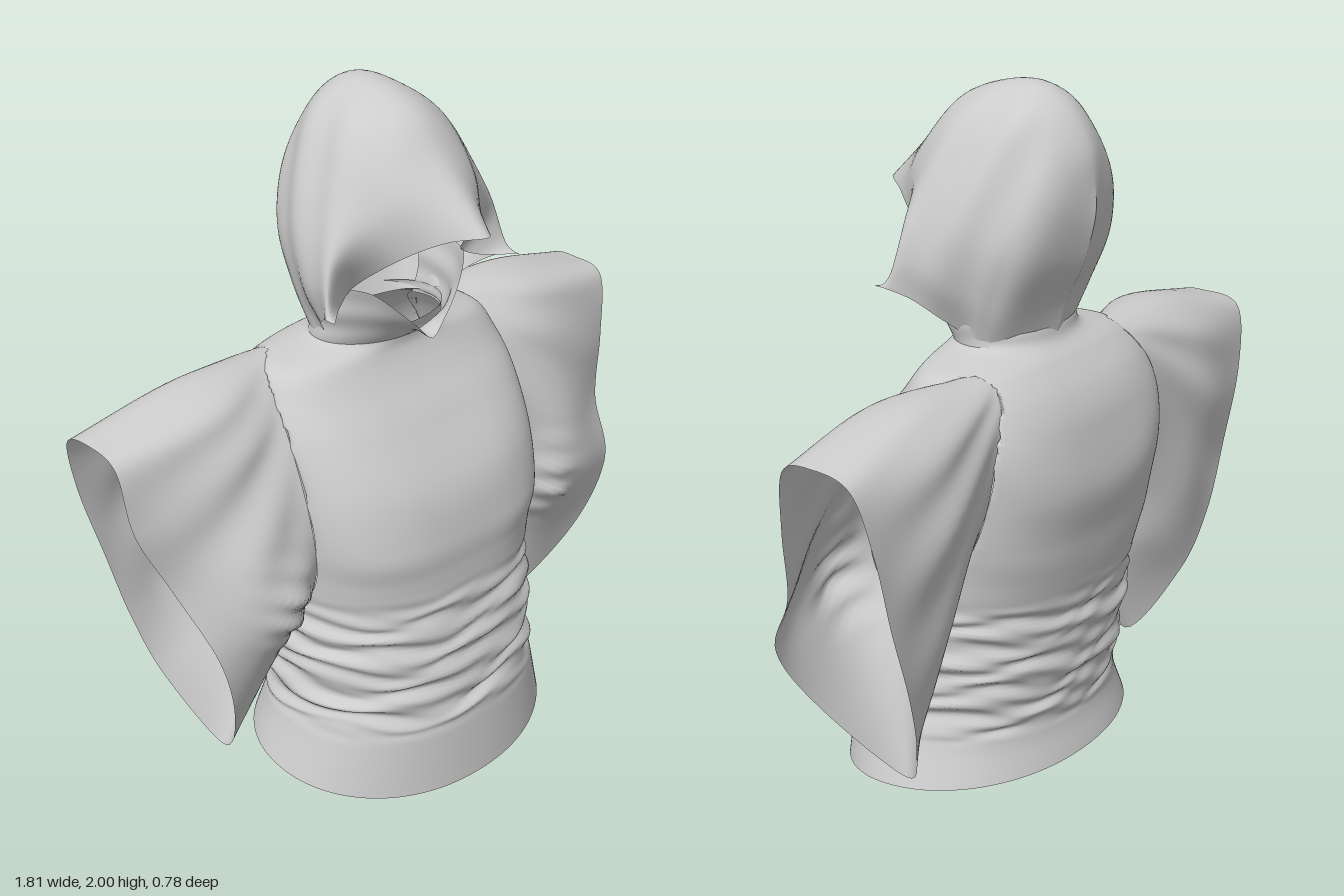
import * as THREE from 'three';

const material = new THREE.MeshStandardMaterial({ color: 0xcccccc, roughness: 0.9, side: THREE.DoubleSide });
const { sin, cos, PI, sign, abs, pow, hypot, atan2 } = Math;
const V = (x, y, z) => new THREE.Vector3(x, y, z);
const step = THREE.MathUtils.smoothstep;

// Smooth cloth surface through rows of control points.
// fold(p, u, v) moves a point, hole(p) removes the quads whose corners all lie in it.
function loft(name, rows, nu, nv, { closed = true, fold, hole } = {}) {
  const sampled = rows.map(r => {
    const curve = new THREE.CatmullRomCurve3(r, closed, 'catmullrom', 0.5);
    return Array.from({ length: closed ? nu : nu + 1 }, (_, i) => curve.getPoint(i / nu));
  });
  const cols = sampled[0].length, points = [], index = [];
  const rails = sampled[0].map((_, i) => new THREE.CatmullRomCurve3(sampled.map(r => r[i]), false, 'catmullrom', 0.5));
  for (let j = 0; j <= nv; j++)
    for (let i = 0; i < cols; i++) {
      const p = rails[i].getPoint(j / nv);
      fold(p, i / nu, j / nv);
      points.push(p);
    }
  for (let j = 0; j < nv; j++)
    for (let i = 0; i < nu; i++) {
      const k = (i + 1) % cols;
      const a = j * cols + i, b = a + cols, c = (j + 1) * cols + k, d = j * cols + k;
      if (hole && [a, b, c, d].every(n => hole(points[n]))) continue;
      index.push(a, b, c, a, c, d);
    }
  const geometry = new THREE.BufferGeometry().setFromPoints(points);
  geometry.setIndex(index);
  geometry.computeVertexNormals();
  const mesh = new THREE.Mesh(geometry, material);
  mesh.name = name;
  return mesh;
}

// Horizontal rounded section from height, half width, front and back depth, squareness
function ring([y, rx, front, back, power], height = () => y) {
  return Array.from({ length: 32 }, (_, i) => {
    const a = i / 32 * 2 * PI, e = 2 / power;
    const x = rx * sign(cos(a)) * pow(abs(cos(a)), e);
    const z = (front + back) / 2 + (front - back) / 2 * sign(sin(a)) * pow(abs(sin(a)), e);
    return V(x, height(z, x), z);
  });
}

const bodySections = [
  [0.20, 0.425, 0.375, -0.30, 2.2], [0.30, 0.41, 0.365, -0.31, 2.2], [0.45, 0.41, 0.355, -0.33, 2.3],
  [0.60, 0.405, 0.335, -0.345, 2.4], [0.70, 0.41, 0.33, -0.36, 2.6], [0.80, 0.42, 0.33, -0.375, 2.8],
  [0.95, 0.43, 0.285, -0.39, 3.0], [1.10, 0.43, 0.19, -0.365, 3.1], [1.20, 0.41, 0.115, -0.32, 2.9],
  [1.27, 0.36, 0.075, -0.26, 2.6], [1.31, 0.22, 0.07, -0.215, 2.2], [1.35, 0.205, 0.08, -0.20, 2.1],
];

// Half width of the body at a given height and depth
function bodyX(y, z) {
  const at = ([, rx, f, b, n]) => rx * pow(Math.max(0, 1 - pow(abs((z - (f + b) / 2) / ((f - b) / 2)), n)), 1 / n);
  const i = Math.max(1, bodySections.findIndex(s => s[0] >= y));
  const lo = bodySections[i - 1], hi = bodySections[i];
  return THREE.MathUtils.mapLinear(y, lo[0], hi[0], at(lo), at(hi));
}

// Armhole: an ellipse leaning forward at the bottom
const ARM = { y: 0.945, ry: 0.335, rz: 0.19 };
const armZ = y => -0.07 + 0.27 * (ARM.y - y);
const armDistance = p => abs(p.x) < 0.12 ? 9 : hypot((p.y - ARM.y) / ARM.ry, (p.z - armZ(p.y)) / ARM.rz);

// Body with a flared, tilted hem, gathered waist and open armholes
function makeBody() {
  const rows = bodySections.map(s => ring(s));
  rows.unshift(ring([0, 0.475, 0.39, -0.33, 2.1], z => 0.065 - 0.117 * z - 0.126 * z * z));
  const fold = p => {
    const a = atan2(p.z, p.x), y = p.y;
    const waist = step(y, 0.19, 0.25) * (1 - step(y, 0.56, 0.66));
    const chest = step(y, 0.66, 0.8) * (1 - step(y, 1.1, 1.25)) * abs(sin(a));
    const w = sin(y * 88 + 1.6 * sin(2 * a) + 1.3 * sin(3 * a + 1))
      + 0.6 * sin(y * 51 - 2.2 * sin(2 * a + 2) + sin(5 * a))
      + 0.4 * sin(y * 135 + 3 * sin(4 * a));
    const c = sin(y * 22 - 5 * cos(a) * cos(a));
    const s = 1 + waist * (0.02 * w - 0.01) + 0.008 * chest * c;
    p.x *= s;
    p.z *= s;
    p.y += 0.008 * waist * sin(5 * a + y * 30);
    // clean armhole edge
    const d = armDistance(p);
    if (d > 0.6 && d < 1) {
      const dy = (p.y - ARM.y) / d, dz = (p.z - armZ(p.y)) / d;
      p.y = ARM.y + dy;
      p.z = armZ(p.y) + dz;
      p.x = sign(p.x) * bodyX(p.y, p.z);
    }
  };
  return loft('body', rows, 128, 180, { fold, hole: p => armDistance(p) < 1.002 });
}

// Wide hanging sleeve: loops run from the shoulder down the front and up the back
const armhole = Array.from({ length: 12 }, (_, i) => {
  const t = i / 12 * 2 * PI, y = ARM.y + ARM.ry * cos(t), z = armZ(y) + ARM.rz * sin(t);
  return [bodyX(y, z), y, z];
});
const middle = [
  [0.57, 1.28, -0.13], [0.59, 1.22, 0.00], [0.61, 1.05, 0.06], [0.61, 0.85, 0.13],
  [0.57, 0.68, 0.185], [0.51, 0.55, 0.11], [0.46, 0.42, -0.03], [0.50, 0.50, -0.18],
  [0.56, 0.66, -0.26], [0.60, 0.90, -0.31], [0.61, 1.10, -0.31], [0.59, 1.25, -0.24],
];
const cuff = [
  [0.90, 1.21, -0.13], [0.90, 1.18, -0.03], [0.88, 1.00, 0.00], [0.85, 0.80, 0.02],
  [0.82, 0.61, 0.10], [0.68, 0.38, 0.075], [0.51, 0.14, -0.07], [0.63, 0.33, -0.21],
  [0.72, 0.55, -0.265], [0.80, 0.78, -0.28], [0.86, 1.00, -0.285], [0.90, 1.18, -0.25],
];
// The right cuff hangs a little differently along its lower edge
const rightCuff = cuff.slice();
rightCuff.splice(3, 6, [0.79, 0.80, 0.02], [0.71, 0.58, 0.10], [0.64, 0.34, 0.06], [0.59, 0.14, -0.07], [0.68, 0.35, -0.21], [0.74, 0.55, -0.265]);

function makeSleeve(name, side, end) {
  const rows = [armhole, middle, end].map(loop => {
    const pts = loop.map(([x, y, z]) => V(side * x, y, z));
    return side > 0 ? pts.reverse() : pts;
  });
  const fold = (p, u, v) => {
    // folds fanning out from the shoulder
    const t = sin(PI * v), fan = atan2(1.3 - p.y, abs(p.x) - 0.2);
    p.z += t * 0.009 * sin(fan * 17);
    // bunched cloth at the front of the underarm
    const near = Math.exp(-(((abs(p.x) - 0.47) / 0.1) ** 2) - ((p.y - 0.7) / 0.12) ** 2);
    p.z += near * t * step(p.z, 0, 0.1) * (0.02 + 0.018 * sin(p.y * 75 + p.x * 30));
  };
  return loft(name, rows, 96, 48, { fold });
}

// Half arches of the hood, each from crown to lower edge, ordered from peak to nape
const arches = [
  [[0, 1.68, 0.36], [0.07, 1.66, 0.28], [0.135, 1.60, 0.18], [0.19, 1.51, 0.07], [0.25, 1.475, 0.08], [0.335, 1.475, 0.155]],
  [[0, 1.83, 0.20], [0.11, 1.79, 0.18], [0.20, 1.71, 0.13], [0.275, 1.62, 0.10], [0.31, 1.55, 0.10], [0.33, 1.47, 0.11]],
  [[0, 1.95, 0.08], [0.13, 1.90, 0.06], [0.22, 1.78, 0.04], [0.28, 1.65, 0.02], [0.295, 1.53, 0.01], [0.27, 1.42, 0.03]],
  [[0, 2.00, -0.10], [0.13, 1.93, -0.10], [0.22, 1.78, -0.10], [0.265, 1.62, -0.10], [0.255, 1.47, -0.08], [0.215, 1.35, -0.04]],
  [[0, 1.96, -0.22], [0.115, 1.90, -0.21], [0.19, 1.76, -0.20], [0.225, 1.60, -0.19], [0.22, 1.45, -0.14], [0.20, 1.33, -0.09]],
  [[0, 1.85, -0.30], [0.08, 1.80, -0.29], [0.14, 1.70, -0.28], [0.17, 1.57, -0.25], [0.17, 1.43, -0.19], [0.15, 1.32, -0.15]],
  [[0, 1.72, -0.32], [0, 1.67, -0.32], [0, 1.60, -0.305], [0, 1.52, -0.28], [0, 1.42, -0.23], [0, 1.31, -0.20]],
];

function makeHood() {
  const rows = arches.map(half => [
    ...half.slice(1).reverse().map(p => V(...p)),
    ...half.map(([x, y, z]) => V(-x, y, z)),
  ]);
  const fold = (p, u, v) => {
    p.x += sign(p.x) * 0.006 * sin(PI * v) * sin(p.z * 40 + p.y * 14) * step(abs(p.x), 0.03, 0.15);
  };
  return loft('hood', rows, 80, 56, { closed: false, fold });
}

// Collar across the throat, joining the hood at the sides and dipping to a soft V
function makeCollar() {
  const drop = (z, x) => 0.17 * step(z, 0, 0.17) * Math.max(0, 1 - abs(x) / 0.18);
  const front = loop => [...loop.slice(-2), ...loop.slice(0, 19)];
  const rows = [
    ring([1.31, 0.21, 0.07, -0.21, 2.1]),
    ring([1.39, 0.215, 0.115, -0.205, 2.1], (z, x) => 1.39 - 0.4 * drop(z, x)),
    ring([1.50, 0.23, 0.165, -0.23, 2.1], (z, x) => 1.50 - drop(z, x)),
  ].map(front);
  const fold = (p, u, v) => {
    const s = 1 + 0.02 * sin(PI * v) * sin(p.y * 60 + 2 * sin(u * 2 * PI));
    p.x *= s;
    p.z *= s;
  };
  return loft('collar', rows, 60, 30, { closed: false, fold });
}

export function createModel() {
  const group = new THREE.Group();
  group.name = 'hoodedTunic';
  group.add(
    makeBody(),
    makeSleeve('leftSleeve', 1, cuff),
    makeSleeve('rightSleeve', -1, rightCuff),
    makeHood(),
    makeCollar(),
  );
  return group;
}
